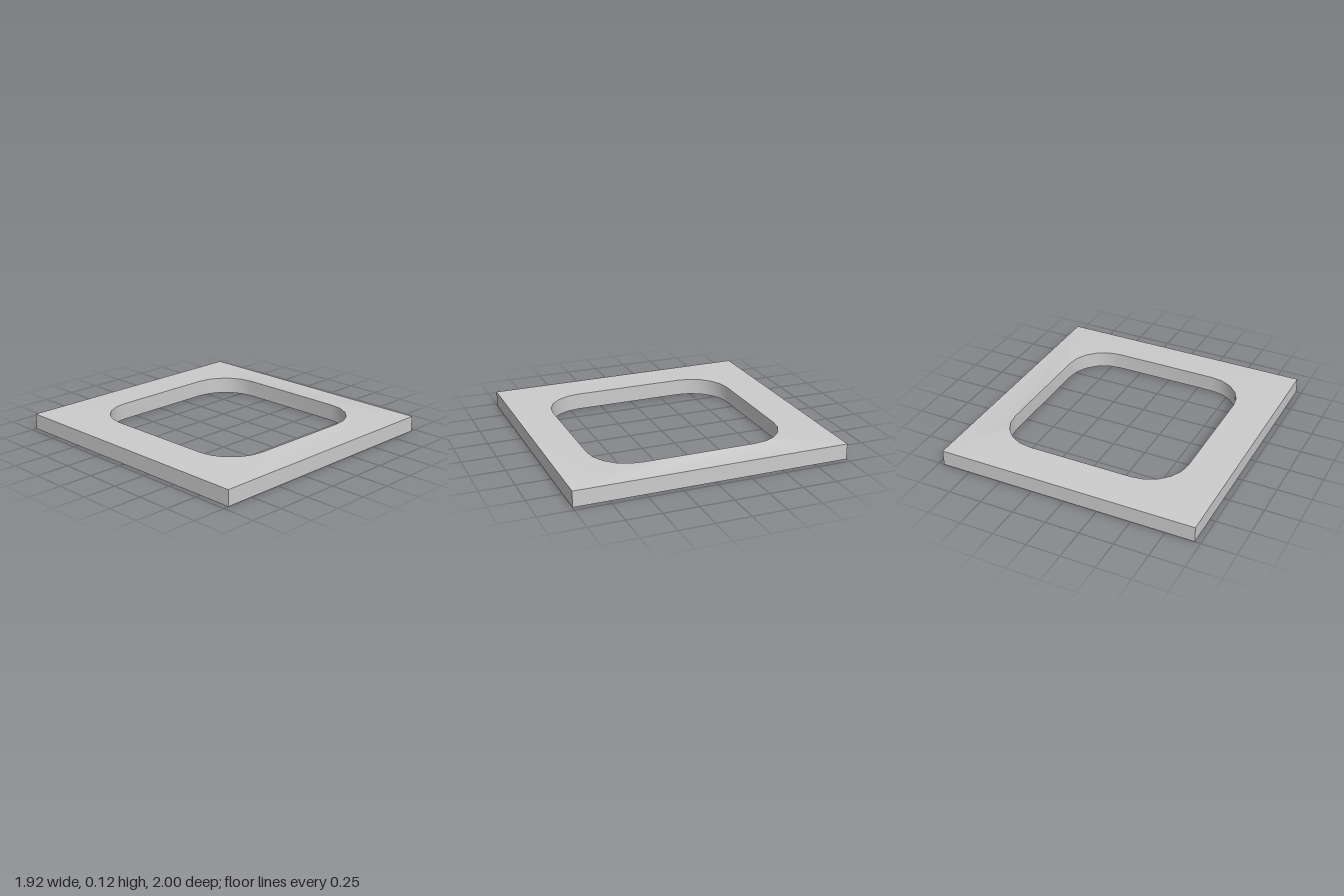
import * as THREE from 'three';
import { toCreasedNormals } from 'three/addons/utils/BufferGeometryUtils.js';

const HALF_W = 0.96, HALF_D = 1;
const RIM_HEIGHT = 0.115, OPENING_HEIGHT = 0.122;

// Rounded rectangle outline with five straight steps per corner
function roundedOutline(x0, x1, y0, y1, r, steps) {
  const points = [];
  const centres = [[x1 - r, y1 - r], [x0 + r, y1 - r], [x0 + r, y0 + r], [x1 - r, y0 + r]];
  centres.forEach(([cx, cy], corner) => {
    for (let i = 0; i <= steps; i++) {
      const a = (corner + i / steps) * Math.PI / 2;
      points.push(new THREE.Vector2(cx + r * Math.cos(a), cy + r * Math.sin(a)));
    }
  });
  return points;
}

export function createModel() {
  const group = new THREE.Group();
  group.name = 'frame';

  // Square slab with a slightly off-centre rounded opening
  const shape = new THREE.Shape([
    new THREE.Vector2(-HALF_W, -HALF_D), new THREE.Vector2(HALF_W, -HALF_D),
    new THREE.Vector2(HALF_W, HALF_D), new THREE.Vector2(-HALF_W, HALF_D),
  ]);
  shape.holes.push(new THREE.Path(roundedOutline(-0.655, 0.725, -0.725, 0.70, 0.295, 5)));
  const geometry = new THREE.ExtrudeGeometry(shape, { depth: RIM_HEIGHT, bevelEnabled: false });
  geometry.rotateX(-Math.PI / 2);

  // The top rises gently from the outer rim to the opening
  const pos = geometry.attributes.position;
  for (let i = 0; i < pos.count; i++) {
    const inner = Math.abs(pos.getX(i)) < 0.8 && Math.abs(pos.getZ(i)) < 0.8;
    if (inner && pos.getY(i) > RIM_HEIGHT / 2) pos.setY(i, OPENING_HEIGHT);
  }

  const plate = new THREE.Mesh(
    toCreasedNormals(geometry, 0.6),
    new THREE.MeshStandardMaterial({ color: 0xcccccc }),
  );
  plate.name = 'framePlate';
  group.add(plate);
  return group;
}
